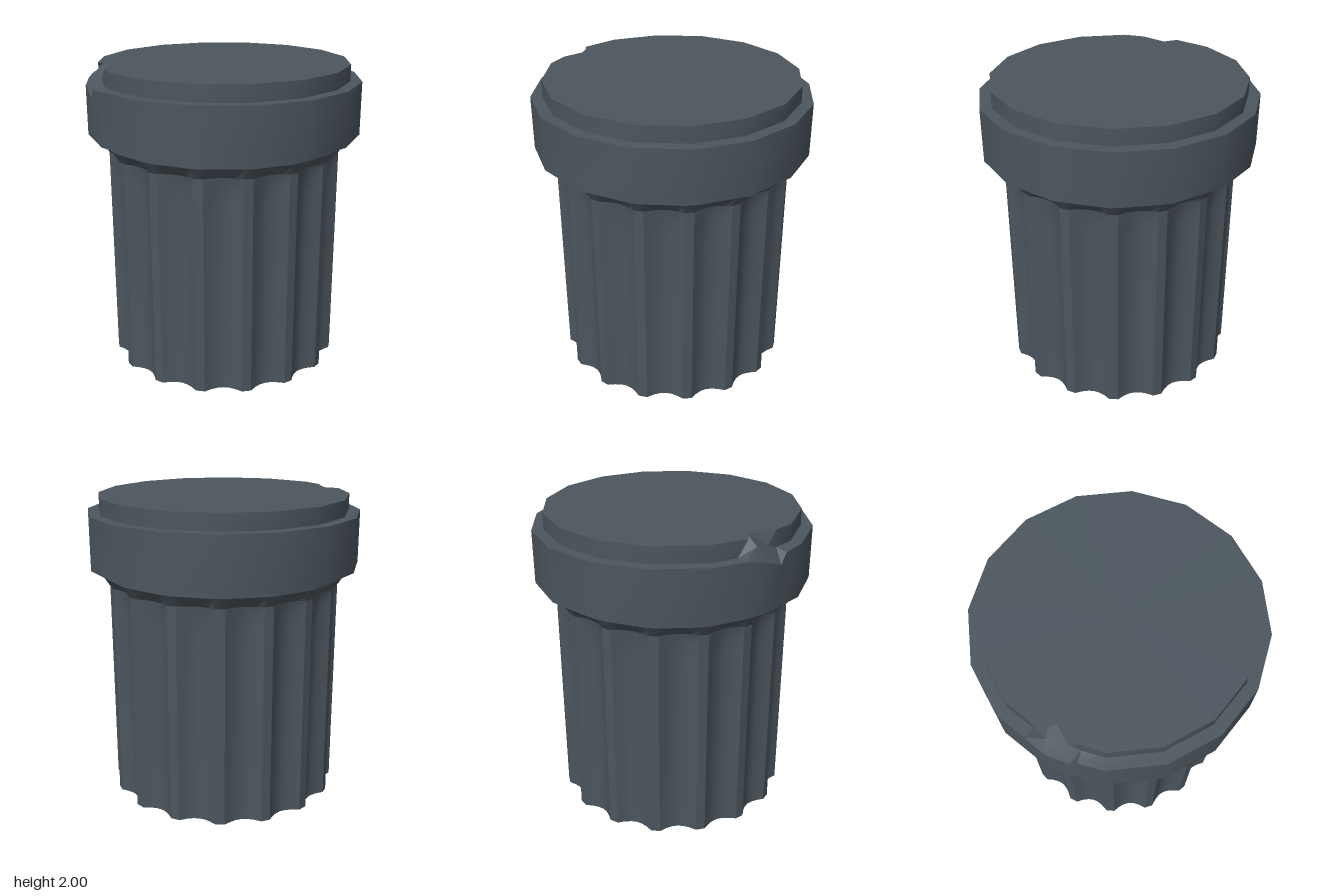
import * as THREE from 'three';
import { toCreasedNormals } from 'three/addons/utils/BufferGeometryUtils.js';

const SIDES = 16;
const STEP = (Math.PI * 2) / SIDES;

// Radius of a regular 16-gon (corner radius r) in direction a
function polyRadius(r, a) {
  const local = (((a % STEP) + STEP) % STEP) - STEP / 2;
  return (r * Math.cos(STEP / 2)) / Math.cos(local);
}

function polar(r, a, y) {
  return [r * Math.sin(a), y, r * Math.cos(a)];
}

// Skin closed loops of equal length, listed so that outward faces turn out
function loft(loops, crease) {
  const pos = [];
  for (let i = 0; i < loops.length - 1; i++) {
    const n = loops[i].length;
    for (let j = 0; j < n; j++) {
      const k = (j + 1) % n;
      const a = loops[i][j], b = loops[i][k];
      const c = loops[i + 1][k], d = loops[i + 1][j];
      pos.push(...a, ...b, ...c);
      if (Math.hypot(c[0] - d[0], c[2] - d[2]) > 1e-6 || c[1] !== d[1]) pos.push(...a, ...c, ...d);
    }
  }
  const g = new THREE.BufferGeometry();
  g.setAttribute('position', new THREE.Float32BufferAttribute(pos, 3));
  return toCreasedNormals(g, crease);
}

// Fluted shaft, open below, whose hollows run out into a flared neck
function shaftGeometry() {
  const R = 0.767, halfRidge = 0.039, segs = 6, depth = 0.05;
  const section = [];
  for (let s = 0; s < SIDES; s++) {
    for (let k = 0; k <= segs; k++) {
      const u = k / segs;
      const a = s * STEP + halfRidge + u * (STEP - 2 * halfRidge);
      section.push({ a, hollow: depth * (1 - (2 * u - 1) ** 2) });
    }
  }
  // [height, corner radius, share of full flute depth]
  const rings = [
    [0, R, 1], [1.26, R, 1], [1.36, R, 0.86], [1.43, R, 0.6],
    [1.505, 0.817, 0], [1.55, 0.817, 0],
  ];
  return loft(rings.map(([y, r, f]) =>
    section.map(({ a, hollow }) => polar(polyRadius(r, a) - hollow * f, a, y))), 0.5);
}

// Stepped capital with one chipped corner
function capitalGeometry() {
  const deg = Math.PI / 180;
  // Replacement points for the chip: outer edge, ledge and cap rim
  const chip = [
    { a: -54.3 * deg, cap: [-0.62, 2, 0.52] },
    { a: -45 * deg, outer: 1.87, ledge: [-0.6, 1.95, 0.57], cap: [-0.57, 2, 0.52] },
    { a: -35.7 * deg, outer: 1.815, ledge: [-0.49, 1.92, 0.63], cap: [-0.52, 2, 0.52] },
    { a: -32.6 * deg, outer: 1.88, cap: [-0.43, 2, 0.67] },
  ];
  const columns = [...chip];
  for (let s = 0; s < SIDES; s++) {
    if (s !== 14) columns.push({ a: s <= 8 ? s * STEP : (s - SIDES) * STEP });
  }
  columns.sort((p, q) => p.a - q.a);
  const ring = (r, y) => columns.map(({ a }) => polar(polyRadius(r, a), a, y));
  const loops = [
    ring(0.817, 1.55),
    ring(0.892, 1.55),
    columns.map(({ a, outer }) => polar(polyRadius(0.892, a), a, outer ?? 1.895)),
    columns.map(({ a, ledge }) => ledge ?? polar(polyRadius(0.817, a), a, 1.895)),
    columns.map(({ a, cap }) => cap ?? polar(polyRadius(0.817, a), a, 2)),
    columns.map(() => [0, 2, 0]),
  ];
  return loft(loops, 0.45);
}

export function createModel() {
  const group = new THREE.Group();
  group.name = 'flutedColumn';
  const stone = new THREE.MeshStandardMaterial({ color: 0x4c565e, side: THREE.DoubleSide });

  const shaft = new THREE.Mesh(shaftGeometry(), stone);
  shaft.name = 'flutedShaft';
  const capital = new THREE.Mesh(capitalGeometry(), stone);
  capital.name = 'chippedCapital';

  group.add(shaft, capital);
  return group;
}
